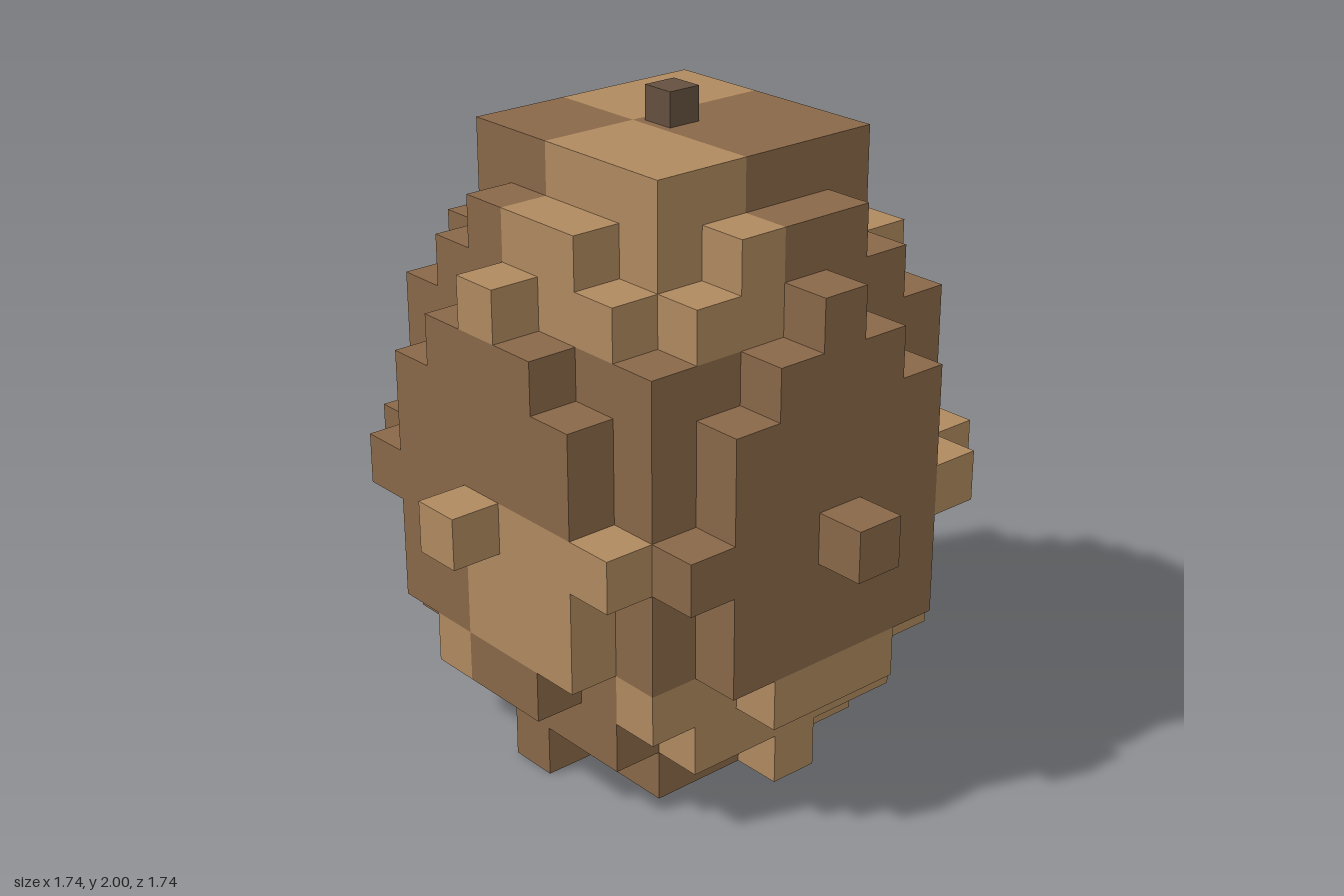
import * as THREE from 'three';
import { mergeGeometries } from 'three/addons/utils/BufferGeometryUtils.js';

const V = 0.158; // block size

// For each layer (bottom to top): widest |i| at |k| = 0, 1, 2...
const LAYERS = [
  [3, 2, 2, 0],
  [3, 3, 3, 2],
  [4, 4, 3, 3, 1],
  [4, 4, 4, 3, 2],
  [4, 4, 4, 3, 2],
  [5, 4, 4, 4, 3, 0],
  [4, 4, 4, 3, 2],
  [4, 4, 4, 3, 2],
  [4, 4, 3, 3, 1],
  [4, 3, 3, 2, 0],
  [3, 3, 2, 1],
  [2, 2, 2],
];

function isSolid(i, j, k) {
  const reach = LAYERS[j]?.[Math.abs(k)];
  return reach !== undefined && Math.abs(i) <= reach;
}

// Patchwork of two browns: four height bands, each split by facing side
function isDark(i, j, k) {
  const tie = Math.abs(i) === Math.abs(k);
  const onX = Math.abs(i) > Math.abs(k) || (tie && i > 0 && k > 0);
  if (j >= 9) {
    if (i === -4) return true;
    return k > -3 && (i >= 0) !== (k >= 1);
  }
  if (j >= 6) {
    if (onX) return i > 0;
    return k > 0 || i >= 0;
  }
  if (j >= 3) {
    if (onX) return i > 0 ? k > -3 : k >= 1 || k === -3;
    return k > 0 && i < 0 && !(i === -3 && k === 3);
  }
  if (j === 0) return !(i >= 0 && k <= 0);
  if (onX) return i < 0 && i > -4;
  return k > 0 && !(i === -1 && k === 4);
}

// One outward face template for each of the six directions
const H = Math.PI / 2;
const FACES = [
  { d: [0, 0, 1], rx: 0, ry: 0 },
  { d: [0, 0, -1], rx: 0, ry: Math.PI },
  { d: [1, 0, 0], rx: 0, ry: H },
  { d: [-1, 0, 0], rx: 0, ry: -H },
  { d: [0, 1, 0], rx: -H, ry: 0 },
  { d: [0, -1, 0], rx: H, ry: 0 },
].map(({ d, rx, ry }) => ({
  d,
  geometry: new THREE.PlaneGeometry(V, V).rotateX(rx).rotateY(ry)
    .translate(d[0] * V / 2, d[1] * V / 2, d[2] * V / 2),
}));

export function createModel() {
  const model = new THREE.Group();
  model.name = 'blockyFruit';

  const lightBrown = new THREE.MeshStandardMaterial({ color: 0xb08a60 });
  lightBrown.name = 'lightBrown';
  const darkBrown = new THREE.MeshStandardMaterial({ color: 0x8a6848 });
  darkBrown.name = 'darkBrown';
  const stemBrown = new THREE.MeshStandardMaterial({ color: 0x655140 });
  stemBrown.name = 'stemBrown';

  // Body: keep only block faces open to the air, sorted by colour
  const light = [], dark = [];
  for (let j = 0; j < LAYERS.length; j++)
    for (let k = -5; k <= 5; k++)
      for (let i = -5; i <= 5; i++) {
        if (!isSolid(i, j, k)) continue;
        const bucket = isDark(i, j, k) ? dark : light;
        for (const { d, geometry } of FACES)
          if (!isSolid(i + d[0], j + d[1], k + d[2]))
            bucket.push(geometry.clone().translate(i * V, (j + 0.5) * V, k * V));
      }

  const body = new THREE.Group();
  body.name = 'body';
  const lightPatches = new THREE.Mesh(mergeGeometries(light), lightBrown);
  lightPatches.name = 'lightPatches';
  const darkPatches = new THREE.Mesh(mergeGeometries(dark), darkBrown);
  darkPatches.name = 'darkPatches';
  body.add(lightPatches, darkPatches);

  // Stem on top
  const top = LAYERS.length * V;
  const stem = new THREE.Mesh(new THREE.BoxGeometry(0.108, 2 - top, 0.108), stemBrown);
  stem.name = 'stem';
  stem.position.y = (2 + top) / 2;

  model.add(body, stem);
  return model;
}
